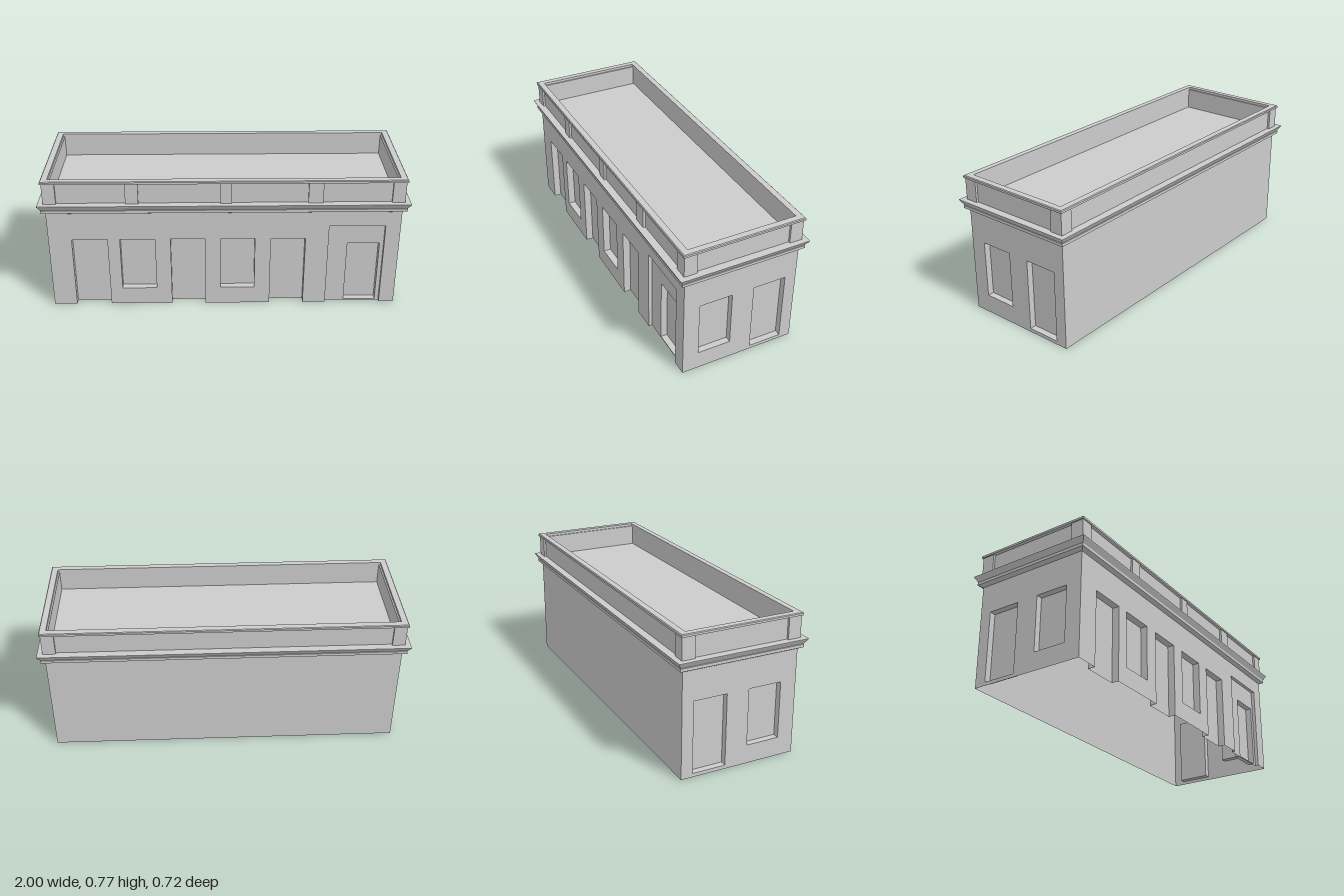
import * as THREE from 'three';

const HX = 0.962, HZ = 0.324;          // half width and half depth of the walls
const WALL_H = 0.59, ROOF_Y = 0.64;
const material = new THREE.MeshStandardMaterial({ color: 0xcccccc, flatShading: true, side: THREE.DoubleSide });

function addMesh(parent, name, geometry) {
  const mesh = new THREE.Mesh(geometry, material);
  mesh.name = name;
  parent.add(mesh);
  return mesh;
}

// Surface from four-cornered faces
function quadGeometry(quads) {
  const pos = quads.flatMap(([a, b, c, d]) => [a, b, c, a, c, d].flat());
  const g = new THREE.BufferGeometry();
  g.setAttribute('position', new THREE.Float32BufferAttribute(pos, 3));
  g.computeVertexNormals();
  return g;
}

// Sweeps a profile of [outward offset, height] around the rectangular plan
function rectSweep(profile) {
  const signs = [[-1, 1], [1, 1], [1, -1], [-1, -1]];
  const corner = (i, [o, y]) => [signs[i % 4][0] * (HX + o), y, signs[i % 4][1] * (HZ + o)];
  const quads = [];
  for (let p = 0; p + 1 < profile.length; p++)
    for (let i = 0; i < 4; i++)
      quads.push([corner(i, profile[p]), corner(i + 1, profile[p]), corner(i + 1, profile[p + 1]), corner(i, profile[p + 1])]);
  return quadGeometry(quads);
}

// Flat panel whose openings are recessed, each closed by another panel
function addPanel(parent, name, { x0, x1, y0, y1 }, z, openings = []) {
  const outline = [[x0, y0]];
  const holes = [];
  for (const o of openings) {
    const c = [[o.x0, o.y0], [o.x0, o.y1], [o.x1, o.y1], [o.x1, o.y0]];
    if (o.y0 === y0) outline.push(...c);
    else holes.push(new THREE.Path(c.map(p => new THREE.Vector2(...p))));

    const reveals = [];
    for (let i = 0; i < (o.y0 === y0 ? 3 : 4); i++) {
      const p = c[i], q = c[(i + 1) % 4], back = z - o.depth;
      reveals.push([[...p, z], [...p, back], [...q, back], [...q, z]]);
    }
    addMesh(parent, o.name + 'Reveal', quadGeometry(reveals));
    addPanel(parent, o.name, o, z - o.depth, o.openings);
  }
  outline.push([x1, y0], [x1, y1], [x0, y1]);
  const shape = new THREE.Shape(outline.map(p => new THREE.Vector2(...p)));
  shape.holes = holes;
  const geometry = new THREE.ShapeGeometry(shape);
  geometry.translate(0, 0, z);
  addMesh(parent, name, geometry);
}

function addWall(parent, name, half, distance, angle, openings) {
  const wall = new THREE.Group();
  wall.name = name;
  addPanel(wall, name + 'Surface', { x0: -half, x1: half, y0: 0, y1: WALL_H }, distance, openings);
  wall.rotation.y = angle;
  parent.add(wall);
}

const opening = (name, x0, x1, y0, y1, depth, openings) => ({ name, x0, x1, y0, y1, depth, openings });

// Parapet plan: corner posts and piers stand proud of the recessed panels
function parapetGeometry() {
  const px = 0.97, pz = 0.332, recess = 0.012;
  const pts = [];
  const side = (half, dist, angle, panels) => {
    const run = [[-half, -dist]];
    for (const [a, b] of panels)
      run.push([a, -dist], [a, recess - dist], [b, recess - dist], [b, -dist]);
    for (const [x, y] of run) pts.push(new THREE.Vector2(x, y).rotateAround(new THREE.Vector2(), angle));
  };
  side(px, pz, 0, [[-0.9, -0.53], [-0.46, -0.02], [0.04, 0.45], [0.53, 0.9]]);
  side(pz, px, Math.PI / 2, [[-0.26, 0.26]]);
  side(px, pz, Math.PI, [[-0.9, 0.9]]);
  side(pz, px, -Math.PI / 2, [[-0.26, 0.26]]);
  const shape = new THREE.Shape(pts);
  const ix = 0.932, iz = 0.304;
  shape.holes.push(new THREE.Path([[-ix, -iz], [-ix, iz], [ix, iz], [ix, -iz]].map(p => new THREE.Vector2(...p))));
  const g = new THREE.ExtrudeGeometry(shape, { depth: 0.122, bevelEnabled: false });
  g.rotateX(-Math.PI / 2);
  g.translate(0, ROOF_Y - 0.002, 0);
  return g;
}

export function createModel() {
  const building = new THREE.Group();
  building.name = 'building';

  // Front wall: doorways, windows and the entrance with its inner door
  addWall(building, 'frontWall', HX, HZ, 0, [
    opening('doorway', -0.835, -0.64, 0, 0.418, 0.04),
    opening('window', -0.572, -0.38, 0.103, 0.418, 0.04),
    opening('doorway', -0.295, -0.107, 0, 0.418, 0.04),
    opening('window', -0.022, 0.168, 0.103, 0.418, 0.04),
    opening('doorway', 0.255, 0.445, 0, 0.418, 0.04),
    opening('entrance', 0.572, 0.88, 0, 0.493, 0.02, [
      opening('entranceDoor', 0.68, 0.858, 0.006, 0.375, 0.035),
    ]),
  ]);

  // Side walls mirror each other; the back is plain
  for (const s of [1, -1]) {
    const mirrored = (name, a, b, y0) =>
      opening(name, Math.min(-s * a, -s * b), Math.max(-s * a, -s * b), y0, 0.416, 0.035);
    addWall(building, s > 0 ? 'leftWall' : 'rightWall', HZ, HX, s * Math.PI / 2, [
      mirrored('sideWindow', 0.05, 0.235, 0.103),
      mirrored('sideDoor', -0.26, -0.075, 0.02),
    ]);
  }
  addWall(building, 'backWall', HX, HZ, Math.PI, []);

  // Moulded cornice
  addMesh(building, 'cornice', rectSweep([
    [0, 0.58], [0.022, 0.592], [0.022, 0.608], [0.02, 0.61], [0.037, 0.637], [0.038, 0.641], [-0.03, 0.641],
  ]));

  // Flat roof
  const roof = addMesh(building, 'roof', new THREE.PlaneGeometry(2 * HX - 0.04, 2 * HZ - 0.03));
  roof.rotation.x = -Math.PI / 2;
  roof.position.y = ROOF_Y;

  // Parapet and its coping
  addMesh(building, 'parapet', parapetGeometry());
  addMesh(building, 'coping', rectSweep([
    [-0.022, 0.76], [0.015, 0.76], [0.015, 0.771], [0.011, 0.775], [-0.022, 0.775], [-0.022, 0.76],
  ]));

  return building;
}
